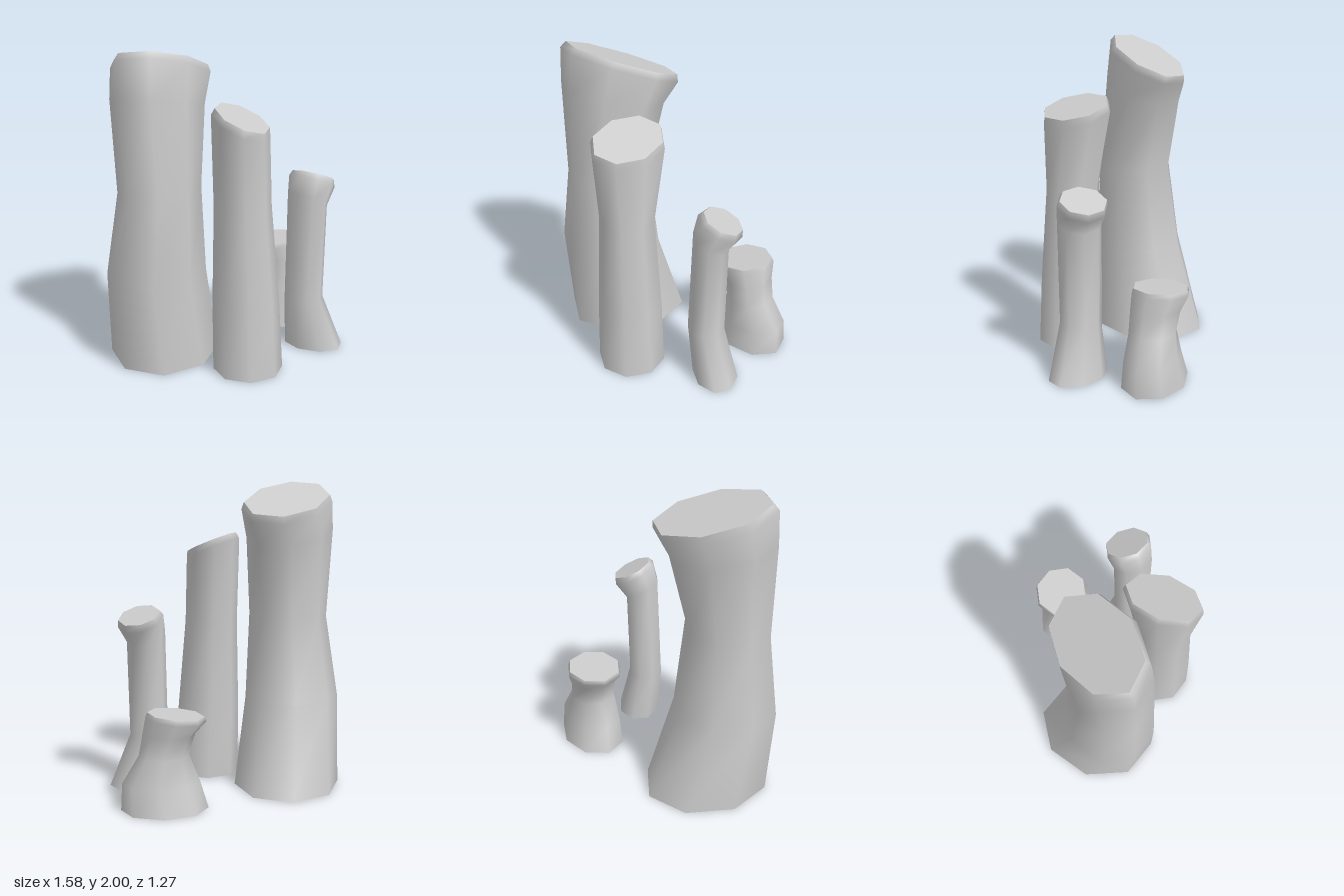
import * as THREE from 'three';

const SIDES = 8;

// Each ring: centre x, y, z, radii rx, rz, tilt (dy/dx, dy/dz), skew towards the right-back diagonal
const columns = {
  tallColumn: [
    [-0.355, 0, -0.265, 0.395, 0.37, 0, 0, 0.03],
    [-0.455, 0.58, -0.225, 0.335, 0.295],
    [-0.45, 1.13, -0.19, 0.27, 0.25, 0.08, 0],
    [-0.41, 1.67, -0.23, 0.33, 0.25, -0.18, 0.1],
    [-0.362, 1.855, -0.242, 0.372, 0.238, -0.26, 0.27],
    [-0.347, 1.897, -0.253, 0.352, 0.224, -0.26, 0.27],
  ],
  mediumColumn: [
    [-0.22, 0, 0.34, 0.22, 0.22],
    [-0.225, 0.45, 0.325, 0.208, 0.21],
    [-0.235, 1.07, 0.305, 0.175, 0.178],
    [-0.222, 1.56, 0.276, 0.218, 0.208, -0.17, -0.36, 0.035],
    [-0.217, 1.605, 0.284, 0.204, 0.196, -0.17, -0.36, 0.035],
  ],
  slimColumn: [
    [0.352, 0, 0.437, 0.15, 0.195, 0, 0, -0.015],
    [0.283, 0.35, 0.4, 0.118, 0.132],
    [0.3, 1.01, 0.4, 0.11, 0.14, -0.5, 0],
    [0.352, 1.12, 0.395, 0.135, 0.158, -0.5, 0.05],
    [0.37, 1.155, 0.392, 0.12, 0.146, -0.45, 0.05],
  ],
  shortColumn: [
    [0.55, 0, -0.005, 0.24, 0.232, 0, 0, -0.035],
    [0.56, 0.17, 0.015, 0.222, 0.2, 0, 0, -0.03],
    [0.54, 0.34, 0.01, 0.155, 0.155],
    [0.522, 0.48, -0.017, 0.157, 0.166],
    [0.497, 0.57, -0.055, 0.187, 0.186, 0.08, 0.06],
    [0.497, 0.6, -0.055, 0.176, 0.176, 0.08, 0.06],
  ],
};

function ringPoints([cx, cy, cz, rx, rz, tiltX = 0, tiltZ = 0, skew = 0]) {
  return Array.from({ length: SIDES }, (_, i) => {
    const a = (i / SIDES) * Math.PI * 2, c = Math.cos(a), s = Math.sin(a);
    const dx = rx * c - skew * s, dz = rz * s - skew * c;
    return [cx + dx, cy + tiltX * dx + tiltZ * dz, cz + dz];
  });
}

function makeMesh(name, points, index) {
  const geometry = new THREE.BufferGeometry();
  geometry.setAttribute('position', new THREE.Float32BufferAttribute(points.flat(), 3));
  geometry.setIndex(index);
  geometry.computeVertexNormals();
  const material = new THREE.MeshStandardMaterial({ color: 0xcccccc, side: THREE.DoubleSide });
  const mesh = new THREE.Mesh(geometry, material);
  mesh.name = name;
  return mesh;
}

function makeColumn(name, rings) {
  const column = new THREE.Group();
  column.name = name;

  // Smooth eight-sided shaft with a softened rim, open at the bottom
  const shaft = [];
  for (let r = 0; r < rings.length - 1; r++) {
    for (let i = 0; i < SIDES; i++) {
      const j = (i + 1) % SIDES;
      const a = r * SIDES + i, b = r * SIDES + j;
      shaft.push(a, a + SIDES, b, b, a + SIDES, b + SIDES);
    }
  }
  column.add(makeMesh('shaft', rings.flatMap(ringPoints), shaft));

  // Flat, slanted top
  const top = rings[rings.length - 1];
  const cap = [];
  for (let i = 0; i < SIDES; i++) cap.push(SIDES, (i + 1) % SIDES, i);
  column.add(makeMesh('topFace', [...ringPoints(top), top.slice(0, 3)], cap));
  return column;
}

export function createModel() {
  const group = new THREE.Group();
  group.name = 'columnCluster';
  for (const [name, rings] of Object.entries(columns)) group.add(makeColumn(name, rings));
  return group;
}
